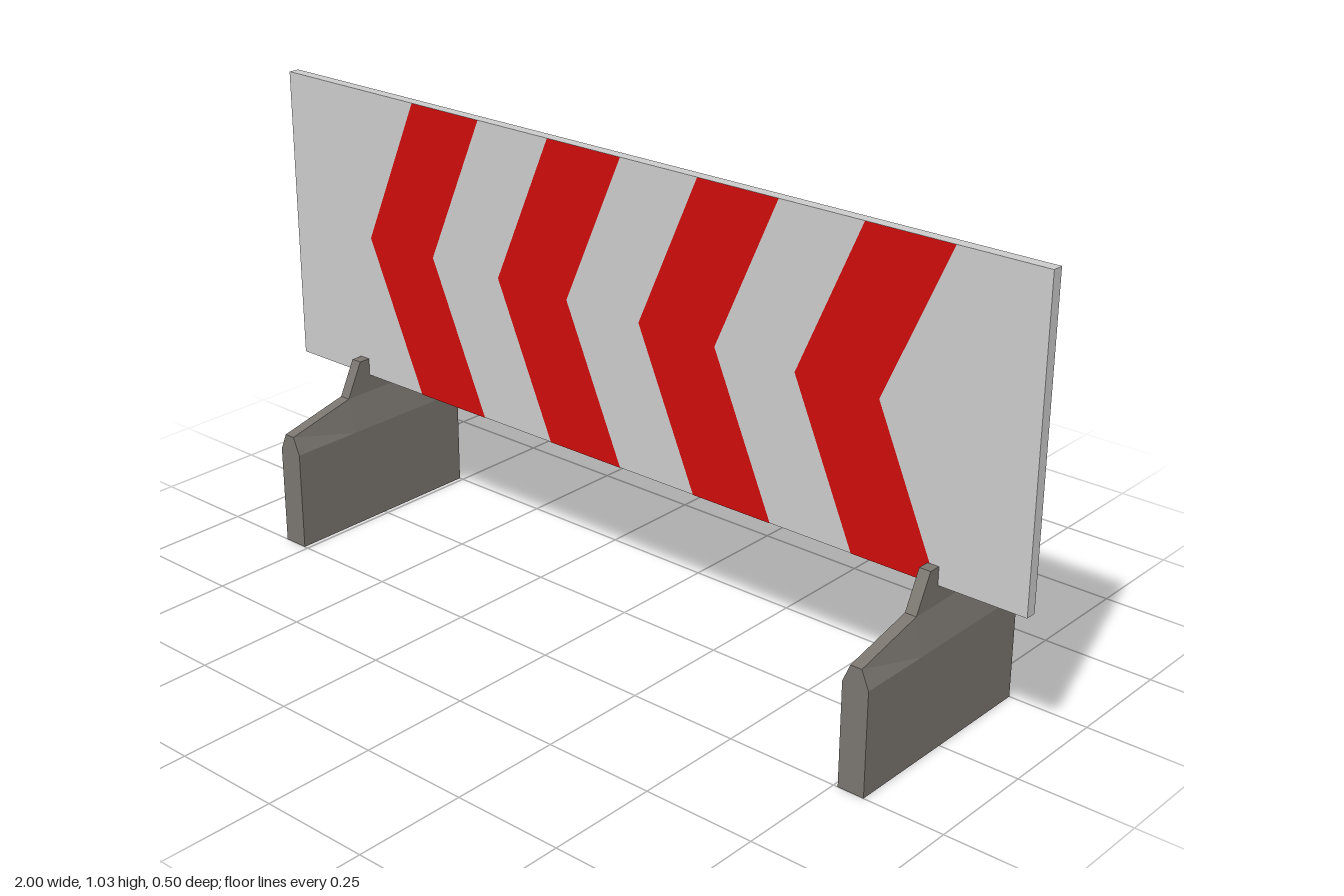
import * as THREE from 'three';

const boardGrey = new THREE.MeshStandardMaterial({ name: 'boardGrey', color: 0xcccccc });
const stripeRed = new THREE.MeshStandardMaterial({ name: 'stripeRed', color: 0xd00c0c });
const footGrey = new THREE.MeshStandardMaterial({ name: 'footGrey', color: 0x7a756f });

const BOTTOM = 0.35, TOP = 1.03, HALF_DEPTH = 0.0125;

function part(name, geometry, material) {
  const mesh = new THREE.Mesh(geometry, material);
  mesh.name = name;
  return mesh;
}

// Bevelled block: one six-sided cross-section swept along z with a pitched top
function footGeometry() {
  const stations = [[-0.25, 0.27], [-0.08, 0.31], [0.08, 0.31], [0.25, 0.27]];
  const positions = [], index = [], n = 6;
  for (const [z, top] of stations) {
    const ring = [[-0.03, 0], [0.03, 0], [0.03, 0.23], [0.013, top], [-0.013, top], [-0.03, 0.23]];
    for (const [x, y] of ring) positions.push(x, y, z);
  }
  const last = (stations.length - 1) * n;
  for (let i = 0; i < last; i += n) {
    for (let j = 0; j < n; j++) {
      const k = (j + 1) % n;
      index.push(i + j, i + k, i + n + k, i + j, i + n + k, i + n + j);
    }
  }
  // End caps
  for (let j = 1; j < n - 1; j++) {
    index.push(0, j + 1, j, last, last + j, last + j + 1);
  }
  const geometry = new THREE.BufferGeometry();
  geometry.setAttribute('position', new THREE.Float32BufferAttribute(positions, 3));
  geometry.setIndex(index);
  const flat = geometry.toNonIndexed();
  flat.computeVertexNormals();
  return flat;
}

// Narrow tapered clamp that holds the board
function neckGeometry() {
  const shape = new THREE.Shape([[-0.08, 0.31], [0.08, 0.31], [0.04, 0.39], [-0.04, 0.39]]
    .map(([x, y]) => new THREE.Vector2(x, y)));
  const geometry = new THREE.ExtrudeGeometry(shape, { depth: 0.026, bevelEnabled: false });
  return geometry.translate(0, 0, -0.013).rotateY(Math.PI / 2);
}

// Arrow stripe; side is 1 for the front face and -1 for the back
function chevronGeometry(x, side) {
  const mid = (BOTTOM + TOP) / 2;
  const outline = [[x, BOTTOM], [x + 0.2, BOTTOM], [x + 0.05, mid], [x + 0.2, TOP], [x, TOP], [x - 0.15, mid]];
  const shape = new THREE.Shape(outline.map(([px, py]) => new THREE.Vector2(px * side, py)));
  const geometry = new THREE.ShapeGeometry(shape).translate(0, 0, HALF_DEPTH + 0.001);
  return side < 0 ? geometry.rotateY(Math.PI) : geometry;
}

export function createModel() {
  const model = new THREE.Group();
  model.name = 'roadBarrier';

  const board = part('board', new THREE.BoxGeometry(2, TOP - BOTTOM, HALF_DEPTH * 2), boardGrey);
  board.position.y = (TOP + BOTTOM) / 2;
  model.add(board);

  for (const side of [1, -1]) {
    for (let i = 0; i < 4; i++) {
      const name = `${side > 0 ? 'front' : 'back'}Chevron${i + 1}`;
      model.add(part(name, chevronGeometry(-0.6 + 0.4 * i, side), stripeRed));
    }
  }

  for (const side of [1, -1]) {
    const foot = new THREE.Group();
    foot.name = side > 0 ? 'leftFoot' : 'rightFoot';
    foot.add(part('footBlock', footGeometry(), footGrey));
    foot.add(part('footNeck', neckGeometry(), footGrey));
    foot.position.x = 0.79 * side;
    model.add(foot);
  }
  return model;
}
